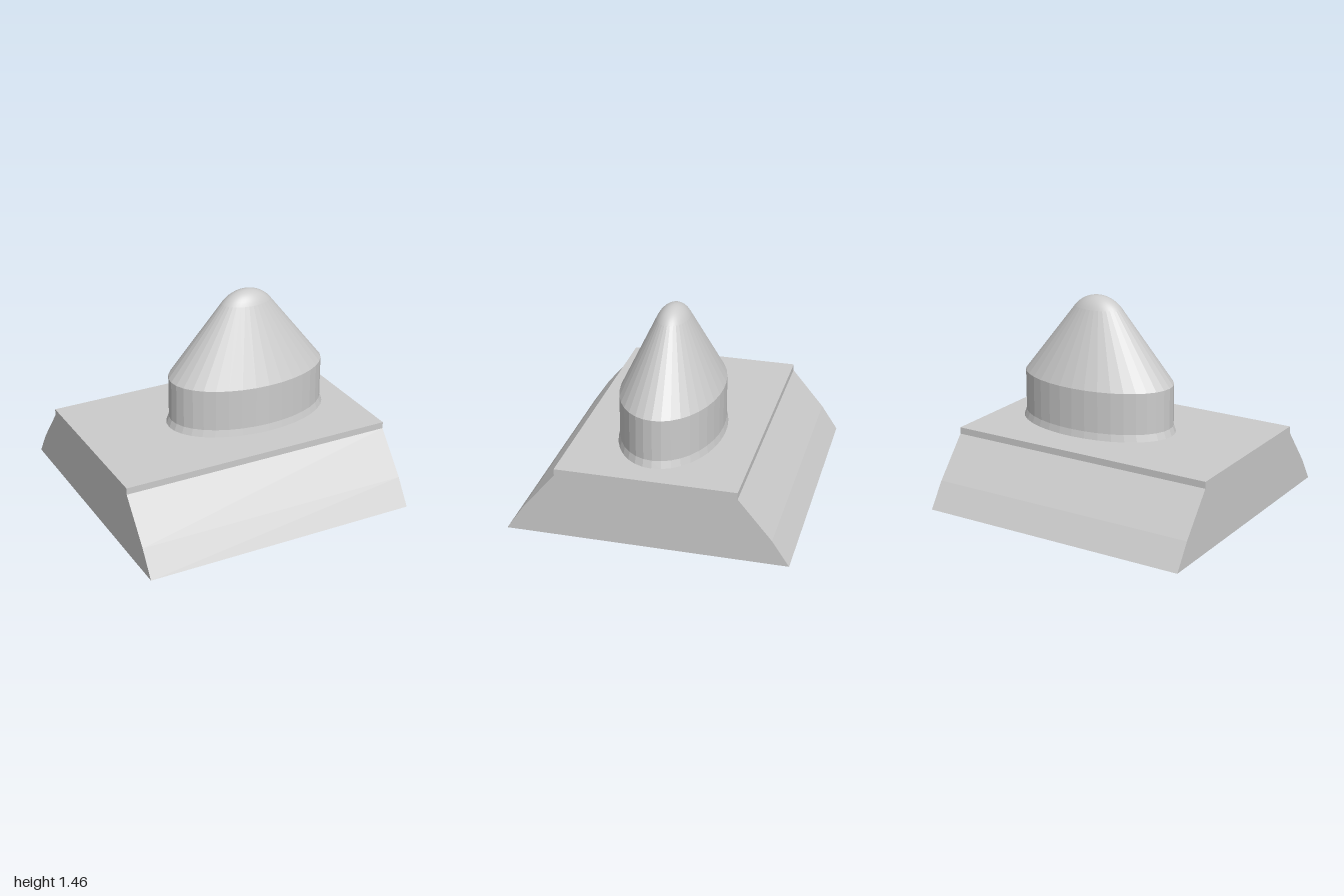
import * as THREE from 'three';

const SEGMENTS = 36;
const DEPTH_RATIO = 0.605; // the dome is an ellipse in plan

// Elliptical ring surface turned from [radius, height] points
function turned(name, points, flatShading) {
  let geometry = new THREE.LatheGeometry(points.map(([r, y]) => new THREE.Vector2(r, y)), SEGMENTS);
  geometry.scale(1, 1, DEPTH_RATIO);
  const material = new THREE.MeshStandardMaterial({ color: 0xcccccc, flatShading, side: THREE.DoubleSide });
  const mesh = new THREE.Mesh(geometry, material);
  mesh.name = name;
  return mesh;
}

export function createModel() {
  const model = new THREE.Group();
  model.name = 'domedBlock';

  // Base: sloped sides with a short upright lip, extruded along x
  const half = [[0.985, 0], [0.865, 0.18], [0.63, 0.462], [0.63, 0.51]];
  const outline = [...half, ...half.map(([z, y]) => [-z, y]).reverse()];
  const shape = new THREE.Shape(outline.map(([z, y]) => new THREE.Vector2(z, y)));
  const baseGeometry = new THREE.ExtrudeGeometry(shape, { depth: 2, bevelEnabled: false });
  baseGeometry.translate(0, 0, -1).rotateY(Math.PI / 2);
  const base = new THREE.Mesh(baseGeometry, new THREE.MeshStandardMaterial({ color: 0xcccccc, flatShading: true }));
  base.name = 'base';
  model.add(base);

  // Off-centre knob: flared foot, upright wall, cone and rounded tip
  const knob = new THREE.Group();
  knob.name = 'knob';
  knob.position.x = 0.223;
  const tipRadius = 0.24, tipAngle = 0.88, tipCentre = 1.215;
  const tip = [];
  for (let i = 0; i <= 10; i++) {
    const a = tipAngle * (1 - i / 10);
    tip.push([tipRadius * Math.sin(a), tipCentre + tipRadius * Math.cos(a)]);
  }
  knob.add(
    turned('foot', [[0.607, 0.51], [0.588, 0.56]], true),
    turned('wall', [[0.588, 0.56], [0.588, 0.86]], true),
    turned('cone', [[0.588, 0.86], tip[0]], true),
    turned('tip', tip, false),
  );
  model.add(knob);
  return model;
}
